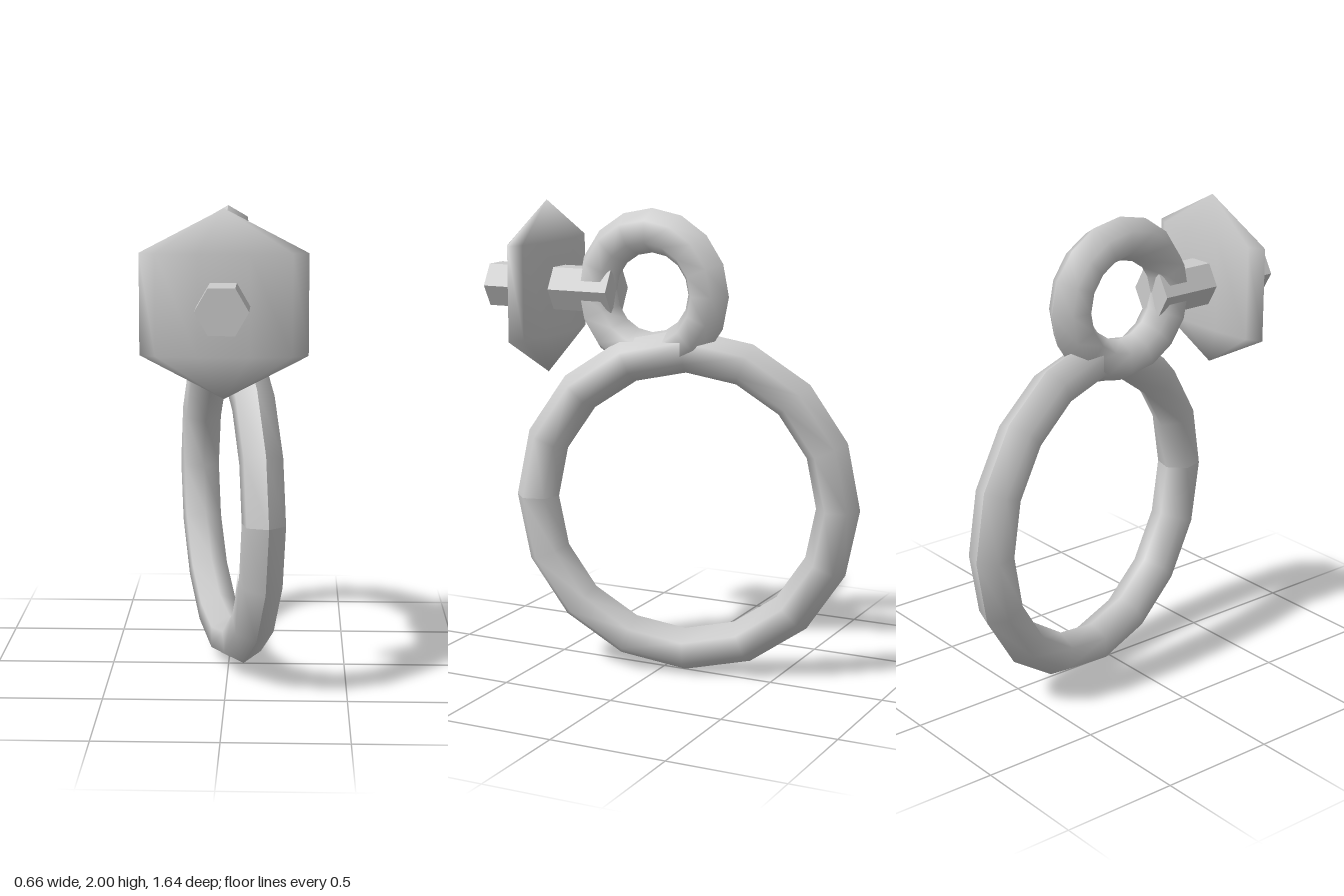
import * as THREE from 'three';

const steel = new THREE.MeshStandardMaterial({ color: 0xcccccc });
steel.name = 'light grey steel';

// Six-sided ring standing in the yz plane; its seams stay sharp
function ring(name, radius, y, z, yaw) {
  const geo = new THREE.TorusGeometry(radius, 0.0925, 6, 16);
  geo.computeVertexNormals();
  const mesh = new THREE.Mesh(geo, steel);
  mesh.name = name;
  mesh.position.set(0, y, z);
  mesh.rotation.y = -Math.PI / 2 + yaw;
  return mesh;
}

// Hexagonal rod along z with crisp flat sides
function rod(name, radius, back, front, y) {
  const geo = new THREE.CylinderGeometry(radius, radius, front - back, 6, 1, false, Math.PI / 2)
    .rotateX(Math.PI / 2)
    .toNonIndexed();
  geo.computeVertexNormals();
  const mesh = new THREE.Mesh(geo, steel);
  mesh.name = name;
  mesh.position.set(0, y, (back + front) / 2);
  return mesh;
}

// Thin backing plate: a flattened low-poly ball with two slightly spread rings
function plate(name, y, z) {
  const geo = new THREE.SphereGeometry(1, 10, 3);
  geo.scale(0.382, 0.372, 0.071);
  const pos = geo.attributes.position;
  for (let i = 0; i < pos.count; i++) {
    const h = pos.getY(i);
    if (Math.abs(h) < 0.3) pos.setY(i, Math.sign(h) * 0.2);
  }
  const mesh = new THREE.Mesh(geo, steel);
  mesh.name = name;
  mesh.position.set(0, y, z);
  return mesh;
}

export function createModel() {
  const group = new THREE.Group();
  group.name = 'ringKnocker';
  group.add(
    ring('largeRing', 0.65, 0.743, -0.1, 0.245),
    ring('smallRing', 0.26, 1.629, 0.057, 0),
    rod('mountingRod', 0.104, 0.227, 0.82, 1.628),
    plate('backingPlate', 1.628, 0.562)
  );
  return group;
}
